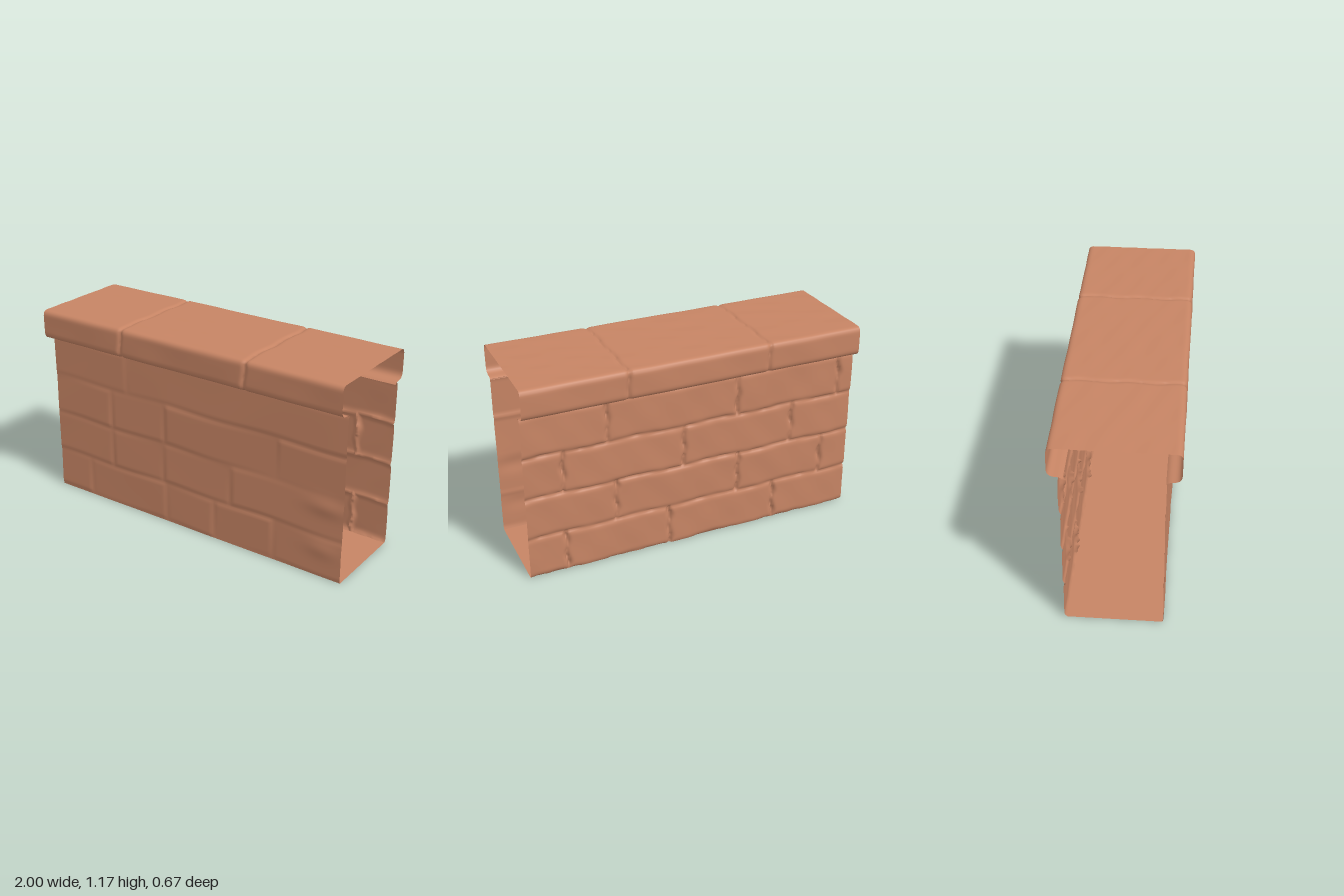
import * as THREE from 'three';

const ROW = 0.25;
const WALL_TOP = 0.99;
const clamp = THREE.MathUtils.clamp;
const smooth = THREE.MathUtils.smoothstep;

// Repeatable value in -1..1 for a whole number
const hash = (n) => {
  const s = Math.sin(n * 127.1 + 11.7) * 43758.5453;
  return 2 * (s - Math.floor(s)) - 1;
};

// Soft wavy noise in about -1..1
const wave = (x, y) =>
  (Math.sin(x * 11 + 3 * Math.sin(y * 7)) + Math.sin(y * 17 + 2 * Math.sin(x * 9 + 1)) + Math.sin(x * 29 - y * 23)) / 3;

// Grid surface from a rule point(u, v); it faces du x dv
function sheet(nu, nv, point) {
  const pos = [], idx = [];
  for (let j = 0; j <= nv; j++)
    for (let i = 0; i <= nu; i++) pos.push(...point(i / nu, j / nv));
  for (let j = 0; j < nv; j++)
    for (let i = 0; i < nu; i++) {
      const a = j * (nu + 1) + i, d = a + nu + 1;
      idx.push(a, a + 1, d + 1, a, d + 1, d);
    }
  const g = new THREE.BufferGeometry();
  g.setAttribute('position', new THREE.Float32BufferAttribute(pos, 3));
  g.setIndex(idx);
  g.computeVertexNormals();
  return g;
}

// Upright joints in each course, from the bottom up
const BACK_JOINTS = [
  [-0.51, 0.16, 0.78],
  [-0.82, -0.27, 0.48],
  [-0.61, 0.07, 0.78],
  [-0.91, -0.26, 0.52],
];
const FRONT_JOINTS = [
  [-0.75, -0.17, 0.17, 0.57],
  [-0.57, -0.19, 0.28],
  [-0.57, -0.18, 0.58],
  [-0.45],
];

// Find the brick at (x, y): distances to its joints and its local position
function brickAt(rows, x, y) {
  const row = clamp(Math.floor(y / ROW), 0, 3);
  const joints = rows[row];
  const k = joints.filter((j) => j < x).length;
  const x0 = k ? joints[k - 1] : -1.6, x1 = k < joints.length ? joints[k] : 1.6;
  const left = Math.max(x0, -1), right = Math.min(x1, 1);
  return {
    dx: Math.min(x - x0, x1 - x),
    dy: Math.min(y - row * ROW, (row + 1) * ROW - y),
    lx: (x - (left + right) / 2) / (right - left),
    ly: y / ROW - row - 0.5,
    id: row * 7 + k,
  };
}

// Rounded edge that rises from 0 to 1 over the width w
const roundEdge = (d, w) => {
  const t = 1 - clamp(d / w, 0, 1);
  return Math.sqrt(1 - t * t);
};

// Back: pillowy bricks with clear grooves
function backPoint(u, v) {
  const x = 1 - 2 * u, y = WALL_TOP * v;
  const b = brickAt(BACK_JOINTS, x + 0.005 * Math.sin(y * 45), clamp(y + 0.005 * Math.sin(x * 13), 0, 1));
  const chip = 0.006 * wave(x * 2, y * 2);
  const groove = Math.min(0.45 + 0.55 * roundEdge(b.dy + chip * 0.5, 0.035), roundEdge(b.dx + chip, 0.03));
  const z = 0.25 + 0.029 * groove + groove * (0.004 * hash(b.id) * b.lx + 0.005 * hash(b.id + 40) * b.ly + 0.002 * wave(x, y));
  return [x, y, -z];
}

// Front: worn, nearly flush bricks with faint steps
function frontPoint(u, v) {
  const x = 2 * u - 1, y = WALL_TOP * v;
  const b = brickAt(FRONT_JOINTS, x, clamp(y + 0.005 * Math.sin(x * 9), 0, 1));
  const edge = smooth(Math.min(b.dx, b.dy), 0, 0.025);
  const bump = 0.01 * Math.exp(-(((x - 0.9) / 0.12) ** 2) - ((y - 0.43) / 0.05) ** 2)
    + 0.007 * Math.exp(-(((x - 0.88) / 0.1) ** 2) - ((y - 0.17) / 0.05) ** 2);
  const tilt = 0.006 * hash(b.id + 90) * b.lx + 0.006 * hash(b.id + 130) * b.ly;
  return [x, y, 0.253 + edge * (0.003 + tilt) + 0.001 * wave(x * 0.6, y * 0.6) + bump];
}

// Coping outline as (z, y), from the front lip over the top to the back lip
function copingProfile() {
  const s = new THREE.Shape();
  s.moveTo(0.252, 0.985);
  s.quadraticCurveTo(0.262, 0.996, 0.29, 0.998);
  s.quadraticCurveTo(0.331, 1.0, 0.331, 1.04);
  s.lineTo(0.331, 1.14);
  s.quadraticCurveTo(0.331, 1.173, 0.298, 1.173);
  s.lineTo(-0.298, 1.173);
  s.quadraticCurveTo(-0.331, 1.173, -0.331, 1.14);
  s.lineTo(-0.331, 1.04);
  s.quadraticCurveTo(-0.331, 1.0, -0.29, 0.998);
  s.quadraticCurveTo(-0.262, 0.996, -0.252, 0.985);
  return s.getSpacedPoints(100);
}

function copingGeometry() {
  const pts = copingProfile();
  const n = pts.length - 1;
  return sheet(240, n, (u, v) => {
    const i = Math.round(v * n);
    const p = pts[i], a = pts[Math.max(i - 1, 0)], c = pts[Math.min(i + 1, n)];
    const x = 2 * u - 1;
    const t = c.clone().sub(a).normalize();
    // Grooves between the three stones
    const xw = x + 0.005 * Math.sin(p.x * 25 + p.y * 30);
    const d = Math.min(Math.abs(xw + 0.425), Math.abs(xw - 0.41));
    const grip = smooth(p.y, 0.985, 1.03) * (1 - 0.4 * smooth(p.y, 1.15, 1.17));
    const out = grip * (0.002 * wave(x * 0.7, p.x * 2 + p.y) - 0.024 * (1 - roundEdge(d, 0.028)));
    return [x, p.y + out * -t.x, p.x + out * t.y];
  });
}

export function createModel() {
  const group = new THREE.Group();
  group.name = 'brickWall';
  const clay = new THREE.MeshStandardMaterial({ color: 0xc68464, side: THREE.DoubleSide });
  clay.name = 'terracotta';

  const add = (name, geometry) => {
    const mesh = new THREE.Mesh(geometry, clay);
    mesh.name = name;
    group.add(mesh);
  };

  add('frontBricks', sheet(150, 90, frontPoint));
  add('backBricks', sheet(230, 110, backPoint));
  add('coping', copingGeometry());
  // Floor follows the bottom edges of both brick faces; the ends stay open
  add('base', sheet(230, 1, (u, v) => {
    const x = 2 * u - 1;
    return [x, 0, v ? frontPoint(u, 0)[2] : backPoint(1 - u, 0)[2]];
  }));
  return group;
}
